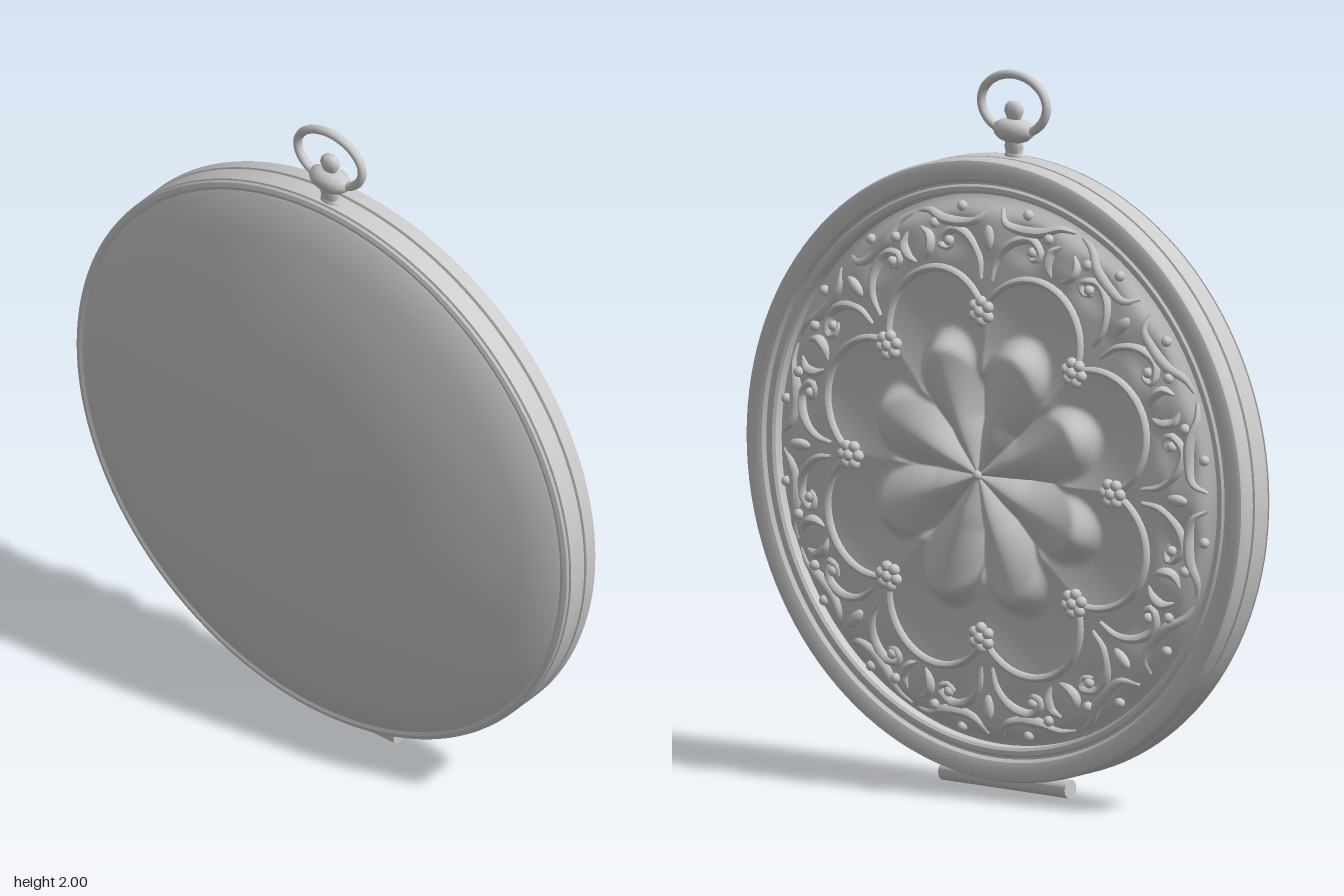
import * as THREE from 'three';
import { toCreasedNormals } from 'three/addons/utils/BufferGeometryUtils.js';

const CENTER_Y = 0.895, FOLD = 8, STEP = Math.PI * 2 / FOLD;
const mat = new THREE.MeshStandardMaterial({ color: 0xcccccc });
const smooth = THREE.MathUtils.smoothstep;

function add(parent, name, geometry, x = 0, y = 0, z = 0) {
  const mesh = new THREE.Mesh(geometry, mat);
  mesh.name = name;
  mesh.position.set(x, y, z);
  parent.add(mesh);
  return mesh;
}

function lathe(profile, segments, crease = 0.5) {
  const points = profile.map(([r, y]) => new THREE.Vector2(r, y));
  return toCreasedNormals(new THREE.LatheGeometry(points, segments), crease);
}

// Round lobes between the bead clusters
const LOBE_R = 0.41, LOBE_SIZE = 0.175;

// Height of the chased back plate at polar position (r, a)
function relief(r, a) {
  const turn = a / STEP;
  const t = (turn - Math.floor(turn) - 0.5) * 2;
  const off = t * STEP / 2;
  let h = 0.146 - 0.125 * r * r - 0.03 * smooth(r, 0.71, 0.77);
  // hollow of the lobe
  const d = Math.hypot(r * Math.cos(off) - LOBE_R, r * Math.sin(off)) / LOBE_SIZE;
  if (d < 1) h -= 0.026 * (1 - d * d);
  // soft leaf ripple in the border
  h += 0.007 * Math.cos(16 * a) * smooth(r, 0.59, 0.64) * (1 - smooth(r, 0.68, 0.74));
  // central flower with ridged petals and deep creases
  const edge = 0.40 * (1 - 0.3 * t * t);
  const petal = 0.166 - 0.05 * Math.pow(Math.abs(t), 1.6) * Math.min(1, r / 0.16)
    - 0.014 * (1 - smooth(r, 0, 0.14));
  return THREE.MathUtils.lerp(petal, h, smooth(r, edge - 0.045, edge + 0.02));
}

function onPlate(x, y, lift) {
  return new THREE.Vector3(x, y, relief(Math.hypot(x, y), Math.atan2(y, x)) + lift);
}

// Tube along a curve, thinning from its thick point towards both ends
function strand(points, radius, taper) {
  const n = 22, sides = 7;
  const curve = new THREE.CatmullRomCurve3(points);
  const geometry = new THREE.TubeGeometry(curve, n, radius, sides);
  const pos = geometry.attributes.position, v = new THREE.Vector3();
  for (let i = 0; i <= n; i++) {
    const c = curve.getPointAt(i / n);
    const k = 1 - taper + taper * Math.sin(Math.PI * i / n);
    for (let j = 0; j <= sides; j++) {
      const id = i * (sides + 1) + j;
      v.fromBufferAttribute(pos, id).sub(c).multiplyScalar(k).add(c);
      pos.setXYZ(id, v.x, v.y, v.z);
    }
  }
  geometry.computeVertexNormals();
  return geometry;
}

function buildBackPlate() {
  const back = new THREE.Group();
  back.name = 'backPlate';

  const plate = new THREE.RingGeometry(0.001, 0.772, 320, 72);
  const pos = plate.attributes.position;
  for (let i = 0; i < pos.count; i++) {
    const x = pos.getX(i), y = pos.getY(i);
    pos.setZ(i, relief(Math.hypot(x, y), Math.atan2(y, x)));
  }
  plate.computeVertexNormals();
  add(back, 'chasedPlate', plate);
  add(back, 'flowerCentre', new THREE.SphereGeometry(0.014, 12, 8), 0, 0, 0.152);

  const bead = new THREE.SphereGeometry(0.0165, 12, 8);
  const dot = new THREE.SphereGeometry(0.015, 10, 8);
  const polar = (r, a, lift) => onPlate(r * Math.cos(a), r * Math.sin(a), lift);

  for (let i = 0; i < FOLD; i++) {
    const mid = (i + 0.5) * STEP, knob = i * STEP;

    // arched wire from cluster to cluster
    const arch = [];
    for (let k = 0; k <= 14; k++) {
      const b = mid + THREE.MathUtils.lerp(-1.5, 1.5, k / 14);
      arch.push(onPlate(LOBE_R * Math.cos(mid) + LOBE_SIZE * Math.cos(b),
        LOBE_R * Math.sin(mid) + LOBE_SIZE * Math.sin(b), 0.006));
    }
    add(back, 'lobeArch', strand(arch, 0.012, 0.15));

    // bead cluster
    const c = polar(0.455, knob, 0.016);
    add(back, 'clusterBead', bead, c.x, c.y, c.z + 0.008);
    for (let k = 0; k < 6; k++) {
      const b = knob + k * Math.PI / 3;
      add(back, 'clusterBead', bead, c.x + 0.027 * Math.cos(b), c.y + 0.027 * Math.sin(b), c.z);
    }

    // border scrolls, mirrored about each cluster
    for (const s of [-1, 1]) {
      const path = (list) => list.map(([r, deg]) => polar(r, knob + s * deg * Math.PI / 180, 0.002));
      add(back, 'borderScroll', strand(path([[0.54, 2], [0.60, 3], [0.655, 7], [0.675, 12],
        [0.645, 16], [0.625, 13.5], [0.64, 11.5]]), 0.014, 0.6), 0, 0, 0);
      add(back, 'rimScroll', strand(path([[0.735, 2], [0.70, 4], [0.69, 8], [0.705, 14],
        [0.735, 18], [0.745, 21.5]]), 0.016, 0.7));
      add(back, 'borderLeaf', strand(path([[0.61, 21], [0.635, 19], [0.67, 18.5],
        [0.70, 20.5]]), 0.015, 0.8));
      for (const [r, deg] of [[0.735, 9], [0.645, 13], [0.70, 16.5]]) {
        const p = polar(r, knob + s * deg * Math.PI / 180, 0.005);
        add(back, 'borderDot', dot, p.x, p.y, p.z);
      }
    }
    // bud above each cluster
    const bud = add(back, 'borderBud', dot);
    bud.position.copy(polar(0.655, knob, 0.004));
    bud.rotation.z = knob;
    bud.scale.set(2.4, 1.1, 1);
  }
  back.position.y = CENTER_Y;
  back.rotation.y = Math.PI;
  return back;
}

export function createModel() {
  const model = new THREE.Group();
  model.name = 'pocketWatchCase';

  // Case: back rim, grooved side and shallow domed lid as one turned profile
  const shell = lathe([
    [0.765, -0.035], [0.768, -0.068], [0.776, -0.074], [0.788, -0.074], [0.794, -0.068],
    [0.80, -0.068], [0.808, -0.078], [0.825, -0.084], [0.848, -0.084], [0.86, -0.079],
    [0.865, -0.068], [0.865, -0.034], [0.856, -0.031], [0.856, -0.027], [0.865, -0.024],
    [0.865, 0.033], [0.858, 0.035], [0.858, 0.038], [0.864, 0.04], [0.86, 0.046],
    [0.848, 0.05], [0.838, 0.047], [0.83, 0.052], [0.73, 0.09], [0.36, 0.14], [0, 0.157],
  ], 128);
  add(model, 'case', shell, 0, CENTER_Y, 0).rotation.x = Math.PI / 2;

  model.add(buildBackPlate());

  // Hinge barrel with end caps
  const hinge = new THREE.CylinderGeometry(0.026, 0.026, 0.44, 20);
  add(model, 'hinge', toCreasedNormals(hinge, 0.6), 0, 0.026, -0.02).rotation.z = Math.PI / 2;

  // Stem, flattened crown and finial
  const stem = lathe([
    [0.03, 1.74], [0.03, 1.765], [0.026, 1.77], [0.03, 1.785], [0.028, 1.80], [0.045, 1.806],
    [0.062, 1.82], [0.067, 1.835], [0.06, 1.85], [0.042, 1.86], [0.022, 1.864], [0.024, 1.87],
    [0.031, 1.885], [0.028, 1.90], [0.018, 1.911], [0, 1.913],
  ], 32, 0.9);
  add(model, 'stem', stem, 0, 0, 0.01).scale.z = 0.6 / 0.067 * 0.0045 / 0.04;
  model.getObjectByName('stem').scale.z = 0.6;

  // Oval bow whose ends enter the sides of the crown
  const bowPoints = [];
  for (let k = 0; k <= 28; k++) {
    const a = THREE.MathUtils.lerp(-0.32, 1.32, k / 28) * Math.PI;
    bowPoints.push(new THREE.Vector3(0.113 * Math.cos(a), 1.905 + 0.083 * Math.sin(a), 0.01));
  }
  const bow = new THREE.TubeGeometry(new THREE.CatmullRomCurve3(bowPoints), 64, 0.0125, 12);
  add(model, 'bow', bow);
  return model;
}
